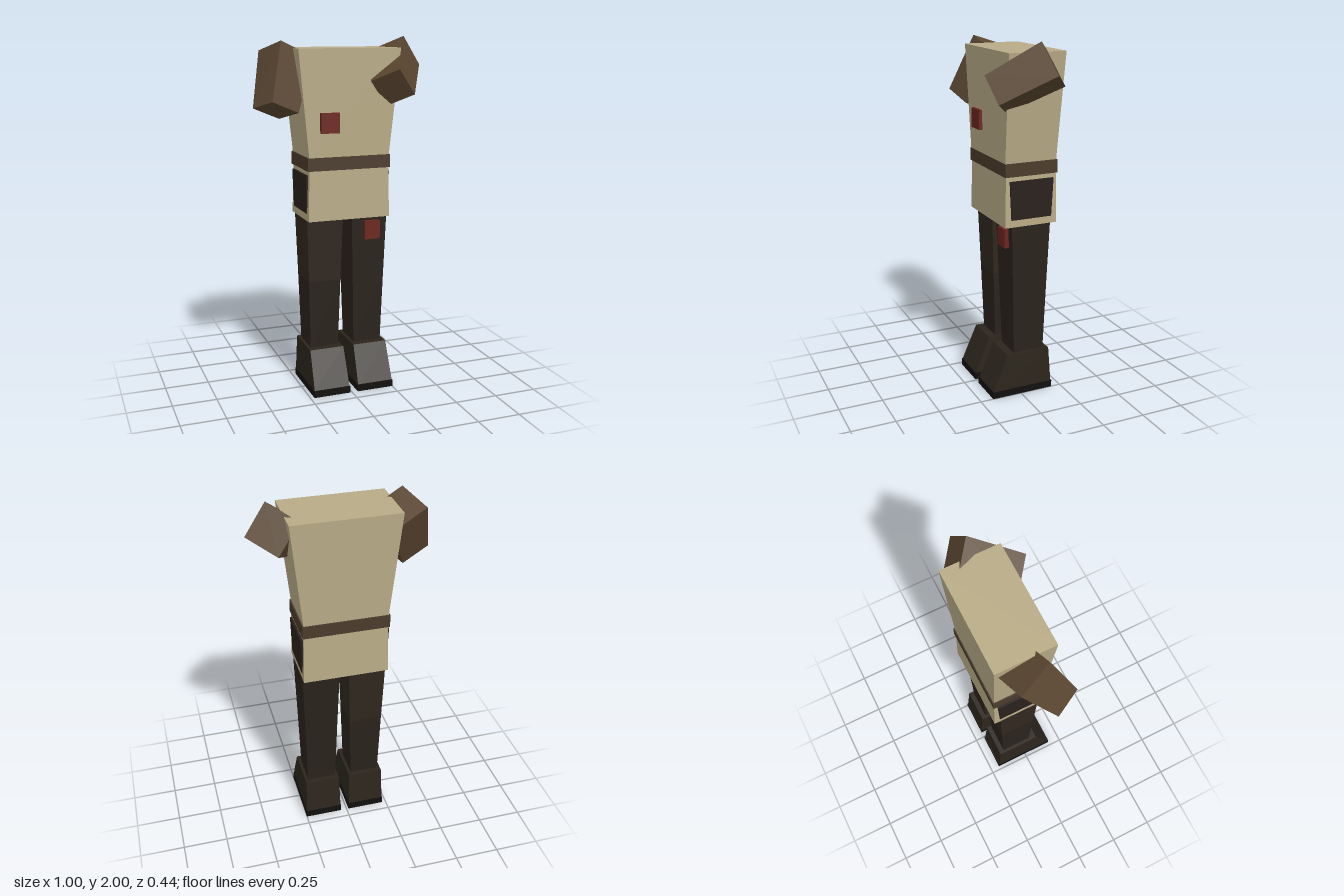
import * as THREE from 'three';

const COLORS = {
  cloth: 0xb8ab86, sleeve: 0x5a4631, belt: 0x4b3b2b, panel: 0x2a211c,
  trouser: 0x2a231c, thigh: 0x30271f, boot: 0x2c251c, sole: 0x12100e, badge: 0x6c251e,
};
const materials = {};
for (const [key, color] of Object.entries(COLORS)) {
  materials[key] = new THREE.MeshStandardMaterial({ color, flatShading: true });
}

// Closed solid between two four-cornered rings, counter-clockwise seen from the end ring
function loft(name, material, start, end) {
  const pos = [];
  const quad = (a, b, c, d) => pos.push(...a, ...b, ...c, ...a, ...c, ...d);
  for (let i = 0; i < 4; i++) {
    const j = (i + 1) % 4;
    quad(start[i], start[j], end[j], end[i]);
  }
  quad(...end);
  quad(...[...start].reverse());
  const geo = new THREE.BufferGeometry();
  geo.setAttribute('position', new THREE.Float32BufferAttribute(pos, 3));
  geo.computeVertexNormals();
  const mesh = new THREE.Mesh(geo, materials[material]);
  mesh.name = name;
  return mesh;
}

// Horizontal rectangle at height y
const ring = (y, x0, x1, z0, z1) => [[x0, y, z1], [x1, y, z1], [x1, y, z0], [x0, y, z0]];

// Four-cornered ring from one corner and two edge vectors
function slanted(p, u, v) {
  const add = (a, b) => a.map((n, i) => n + b[i]);
  return [p, add(p, u), add(add(p, u), v), add(p, v)];
}

function createLeg(name, cx, thighMaterial) {
  const leg = new THREE.Group();
  leg.name = name;
  const span = (y, half, z0, z1) => ring(y, cx - half, cx + half, z0, z1);
  const knee = span(0.645, 0.094, -0.158, 0.048);
  leg.add(
    loft('sole', 'sole', span(0, 0.108, -0.195, 0.175), span(0.04, 0.108, -0.195, 0.175)),
    loft('boot', 'boot', span(0.04, 0.105, -0.19, 0.17), span(0.25, 0.1, -0.175, 0.08)),
    loft('shin', 'trouser', span(0.25, 0.083, -0.146, 0.035), knee),
    loft('thigh', thighMaterial, knee, span(1.005, 0.105, -0.17, 0.06)),
  );
  return leg;
}

export function createModel() {
  const model = new THREE.Group();
  model.name = 'headlessFigure';

  // Legs and boots
  model.add(createLeg('rightLeg', -0.12, 'thigh'), createLeg('leftLeg', 0.143, 'trouser'));

  // Tunic and belt
  model.add(
    loft('tunicSkirt', 'cloth', ring(1.005, -0.228, 0.248, -0.208, 0.1), ring(1.29, -0.221, 0.243, -0.203, 0.094)),
    loft('belt', 'belt', ring(1.285, -0.23, 0.25, -0.21, 0.1), ring(1.358, -0.23, 0.25, -0.21, 0.1)),
    loft('torso', 'cloth', ring(1.35, -0.222, 0.242, -0.204, 0.098), ring(1.94, -0.28, 0.305, -0.22, 0.106)),
  );

  // Hip panels
  for (const [name, side] of [['rightHipPanel', -1], ['leftHipPanel', 1]]) {
    const x = (inner) => 0.011 + side * inner;
    const span = (y, out, z0, z1) => ring(y, Math.min(x(0.2), x(out)), Math.max(x(0.2), x(out)), z0, z1);
    model.add(loft(name, 'panel', span(1.045, 0.24, -0.175, 0.064), span(1.26, 0.245, -0.184, 0.073)));
  }

  // Chest and thigh badges
  model.add(
    loft('chestBadge', 'badge', ring(1.49, -0.16, -0.055, 0.08, 0.12), ring(1.6, -0.16, -0.055, 0.08, 0.12)),
    loft('thighBadge', 'badge', ring(0.875, 0.11, 0.2, 0.04, 0.083), ring(0.98, 0.11, 0.2, 0.04, 0.083)),
  );

  // Upper arm stumps, lofted from the cut end to the shoulder
  model.add(
    loft('rightSleeve', 'sleeve',
      slanted([-0.435, 1.67, 0.145], [0.155, -0.065, -0.042], [-0.07, -0.042, -0.137]),
      slanted([-0.35, 1.98, 0.025], [0.19, -0.085, -0.05], [-0.075, -0.055, -0.18])),
    loft('leftSleeve', 'sleeve',
      slanted([0.25, 1.83, 0.217], [0.105, -0.139, -0.032], [-0.125, -0.066, -0.1]),
      slanted([0.382, 2.0, -0.036], [0.118, -0.16, -0.038], [-0.145, -0.076, -0.117])),
  );

  return model;
}
